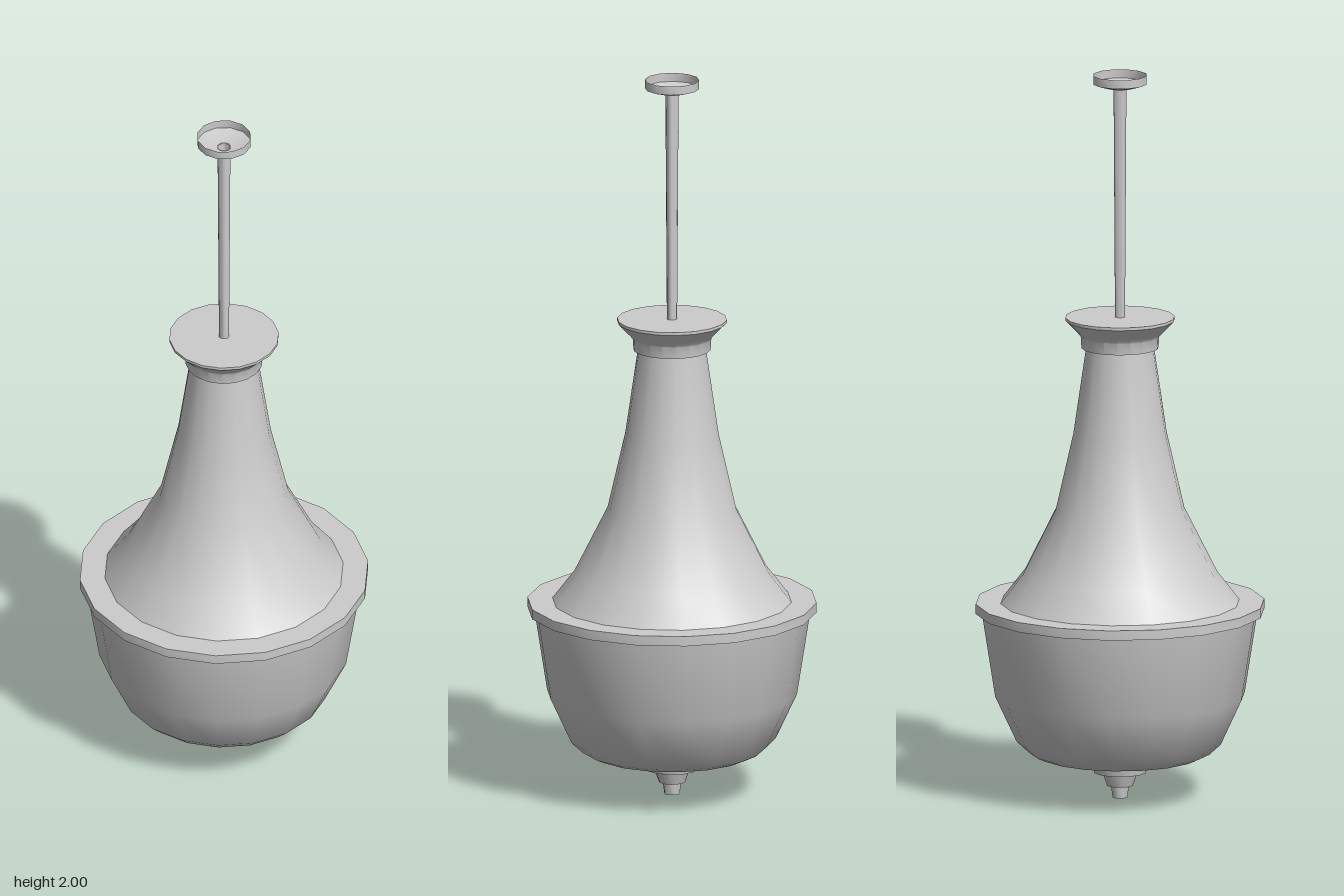
import * as THREE from 'three';
import { toCreasedNormals } from 'three/addons/utils/BufferGeometryUtils.js';

const material = new THREE.MeshStandardMaterial({ color: 0xcccccc, side: THREE.DoubleSide });

// Turned part: profile of [radius, y] from bottom to top, with a corner on the +x axis
function turned(name, sides, profile) {
  const points = profile.map(([r, y]) => new THREE.Vector2(r, y));
  const lathe = new THREE.LatheGeometry(points, sides, Math.PI / 2);
  const mesh = new THREE.Mesh(toCreasedNormals(lathe, 0.7), material);
  mesh.name = name;
  return mesh;
}

export function createModel() {
  const lamp = new THREE.Group();
  lamp.name = 'pendantLamp';

  lamp.add(
    // Stepped finial below the bowl
    turned('finial', 12, [
      [0, 0], [0.021, 0], [0.025, 0.033], [0.036, 0.033], [0.049, 0.07],
      [0.072, 0.07], [0.082, 0.118],
    ]),
    // Glass bowl
    turned('bowl', 18, [
      [0, 0.118], [0.225, 0.118], [0.25, 0.13], [0.282, 0.16], [0.34, 0.285], [0.376, 0.515],
    ]),
    // Flat band around the widest point
    turned('rim', 18, [
      [0.37, 0.515], [0.393, 0.515], [0.393, 0.542], [0.32, 0.542],
    ]),
    // Flaring upper body
    turned('neck', 18, [
      [0.325, 0.542], [0.265, 0.62], [0.175, 0.8], [0.127, 1.01], [0.092, 1.25], [0.09, 1.27],
    ]),
    // Cap with a flared lip and a flat top, open below
    turned('cap', 18, [
      [0.105, 1.245], [0.107, 1.278], [0.118, 1.29], [0.149, 1.322], [0.149, 1.33], [0, 1.33],
    ]),
    // Hanging rod, a slightly tapered tube
    turned('rod', 12, [[0.014, 1.33], [0.018, 1.965]]),
    // Ceiling canopy, open on top
    turned('canopy', 12, [[0.017, 1.963], [0.035, 1.964], [0.074, 1.976], [0.074, 2]]),
  );
  return lamp;
}
